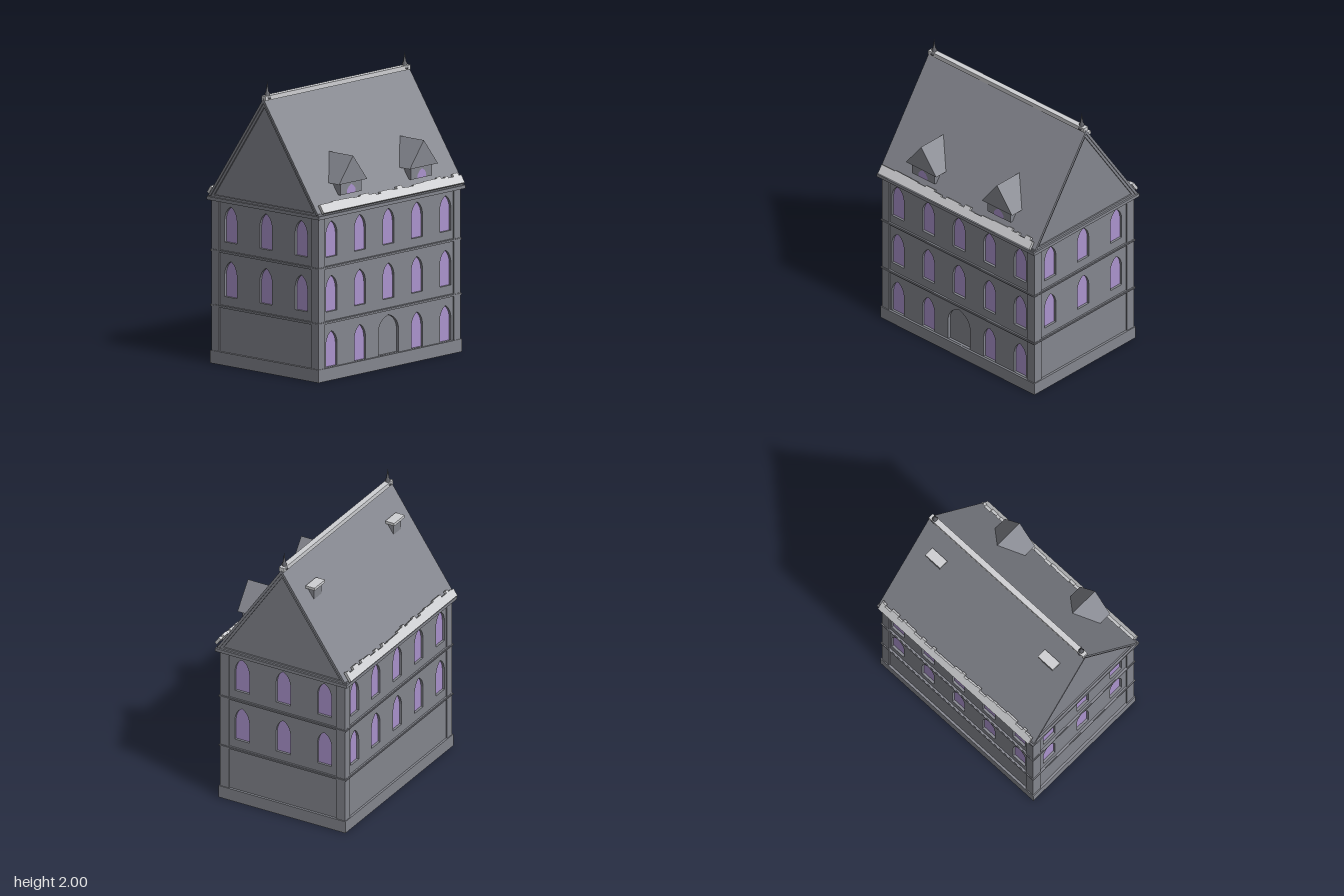
import * as THREE from 'three';

const stone = new THREE.MeshStandardMaterial({ name: 'grey stone', color: 0x84868e });
const glass = new THREE.MeshStandardMaterial({ name: 'purple glass', color: 0xab93cd });
const pale = new THREE.MeshStandardMaterial({ name: 'pale stone', color: 0xcfd0d3 });
const iron = new THREE.MeshStandardMaterial({ name: 'dark iron', color: 0x606167 });

const COLS5 = [-0.565, -0.283, 0, 0.283, 0.565];
const COLS3 = [-0.322, 0, 0.322];
const EAVE = { z: 0.505, y: 1.15 }, RIDGE_Y = 1.885;

function add(parent, name, geometry, material, x = 0, y = 0, z = 0) {
  const mesh = new THREE.Mesh(geometry, material);
  mesh.name = name;
  mesh.position.set(x, y, z);
  parent.add(mesh);
  return mesh;
}

// Box given by its centre x/z, its bottom and top
function block(parent, name, material, w, y0, y1, d, x = 0, z = 0) {
  return add(parent, name, new THREE.BoxGeometry(w, y1 - y0, d), material, x, (y0 + y1) / 2, z);
}

function extrude(shape, depth) {
  return new THREE.ExtrudeGeometry(shape, { depth, bevelEnabled: false, curveSegments: 6 });
}

function polygon(points) {
  return new THREE.Shape(points.map(([x, y]) => new THREE.Vector2(x, y)));
}

// Pointed arch standing on (x, y)
function arch(x, y, w, h) {
  const s = new THREE.Shape(), r = w / 2, spring = y + h * 0.62;
  s.moveTo(x - r, y);
  s.lineTo(x + r, y);
  s.lineTo(x + r, spring);
  s.quadraticCurveTo(x + r * 0.9, y + h * 0.9, x, y + h);
  s.quadraticCurveTo(x - r * 0.9, y + h * 0.9, x - r, spring);
  s.closePath();
  return s;
}

// Wall facing +z with recessed pointed windows; the back of the wall is at z = 0
function wall(name, width, cols, floors, door) {
  const g = new THREE.Group();
  g.name = name;
  const face = polygon([[-width / 2, 0], [width / 2, 0], [width / 2, 1.13], [-width / 2, 1.13]]);
  for (const y of floors) for (const x of cols) {
    if (door && y < 0.1 && x === 0) {
      face.holes.push(arch(0, y, 0.2, 0.27));
      continue;
    }
    face.holes.push(arch(x, y, 0.112, 0.246));
    add(g, 'window', new THREE.ShapeGeometry(arch(x, y, 0.112, 0.246), 6), glass, 0, 0, 0.003);
  }
  add(g, 'wallFace', extrude(face, 0.02), stone);
  return g;
}

// Tapered iron spike with a ball and a short crossbar
function finial(x) {
  const g = new THREE.Group();
  g.name = 'finial';
  const profile = [[0, 0], [0.024, 0], [0.026, 0.012], [0.014, 0.024], [0.019, 0.034],
    [0.01, 0.05], [0.007, 0.075], [0, 0.12]].map(([r, y]) => new THREE.Vector2(r, y));
  add(g, 'spike', new THREE.LatheGeometry(profile, 12), iron);
  block(g, 'crossbar', iron, 0.075, 0, 0.012, 0.012);
  g.position.set(x, 1.88, 0);
  return g;
}

function dormer(x) {
  const g = new THREE.Group();
  g.name = 'dormer';
  block(g, 'dormerBox', stone, 0.21, 1.245, 1.34, 0.26, 0, 0.33);
  const roof = polygon([[-0.14, 1.325], [0.14, 1.325], [0, 1.505]]);
  add(g, 'dormerRoof', extrude(roof, 0.23), stone, 0, 0, 0.25);
  const pane = polygon([[-0.042, 1.247], [0.042, 1.247], [0.042, 1.273], [0.025, 1.295], [0, 1.31], [-0.025, 1.295], [-0.042, 1.273]]);
  add(g, 'dormerWindow', new THREE.ShapeGeometry(pane), glass, 0, 0, 0.463);
  g.position.x = x;
  return g;
}

function chimney(x) {
  const g = new THREE.Group();
  g.name = 'chimney';
  block(g, 'chimneyStack', stone, 0.1, 1.58, 1.72, 0.046, 0, -0.146);
  block(g, 'chimneyCap', pale, 0.138, 1.718, 1.738, 0.07, 0, -0.15);
  g.position.x = x;
  return g;
}

// Ragged strip lying on the lower edge of the +z roof slope
function eaveStrip(seed) {
  const random = () => (seed = (seed * 16807) % 2147483647) / 2147483647;
  const points = [[-0.7, 0], [0.7, 0]];
  let x = 0.7;
  while (x > -0.7) {
    const next = Math.max(-0.7, x - 0.025 - random() * 0.06);
    const h = 0.05 + random() * 0.03;
    points.push([x, h], [next, h]);
    x = next;
  }
  const g = new THREE.Group();
  g.name = 'eaveStrip';
  const strip = add(g, 'raggedStrip', extrude(polygon(points), 0.02), pale, 0, 1.158, 0.518);
  strip.rotation.x = -Math.atan2(EAVE.z, RIDGE_Y - EAVE.y);
  return g;
}

export function createModel() {
  const model = new THREE.Group();
  model.name = 'house';

  // Body: solid core with four pierced walls
  block(model, 'core', stone, 1.35, 0, 1.13, 0.92);
  const front = wall('frontWall', 1.39, COLS5, [0.09, 0.47, 0.845], true);
  front.position.z = 0.46;
  const back = wall('backWall', 1.39, COLS5, [0.47, 0.845], false);
  back.position.z = -0.46;
  back.rotation.y = Math.PI;
  model.add(front, back);
  for (const s of [-1, 1]) {
    const side = wall('sideWall', 0.92, COLS3, [0.47, 0.845], false);
    side.position.x = s * 0.675;
    side.rotation.y = s * Math.PI / 2;
    model.add(side);
  }

  // Corner pilasters, plinth, string courses and cornice
  for (const sx of [-1, 1]) for (const sz of [-1, 1])
    block(model, 'cornerPilaster', stone, 0.065, 0, 1.13, 0.07, sx * 0.6725, sz * 0.455);
  block(model, 'plinth', stone, 1.424, 0, 0.088, 0.992);
  for (const y of [0.39, 0.768]) {
    block(model, 'stringCourse', stone, 1.414, y, y + 0.018, 0.984);
    block(model, 'stringCourseLip', stone, 1.424, y + 0.005, y + 0.013, 0.994);
  }
  block(model, 'cornice', stone, 1.456, 1.122, 1.145, 1.03);
  block(model, 'corniceTop', stone, 1.43, 1.145, 1.16, 1.01);

  // Roof: recessed gable prism under an overhanging chevron
  const gable = extrude(polygon([[-0.49, 1.15], [0.49, 1.15], [0, 1.865]]), 1.41);
  add(model, 'gable', gable, stone, -0.705).rotation.y = Math.PI / 2;
  const slopes = (drop, length, name) => {
    const inner = EAVE.z * (1 - drop / (RIDGE_Y - EAVE.y));
    const chevron = polygon([[-EAVE.z, EAVE.y], [-inner, EAVE.y], [0, RIDGE_Y - drop],
      [inner, EAVE.y], [EAVE.z, EAVE.y], [0, RIDGE_Y]]);
    add(model, name, extrude(chevron, length), stone, -length / 2).rotation.y = Math.PI / 2;
  };
  slopes(0.03, 1.446, 'roofSlopes');
  slopes(0.06, 1.43, 'gableTrim');
  block(model, 'ridge', pale, 1.44, 1.872, 1.903, 0.04);

  // Ragged eaves, front and back
  const backStrip = eaveStrip(77);
  backStrip.rotation.y = Math.PI;
  model.add(eaveStrip(1234), backStrip);

  for (const s of [-1, 1]) model.add(finial(s * 0.682), dormer(s * 0.351), chimney(s * 0.525));
  return model;
}
